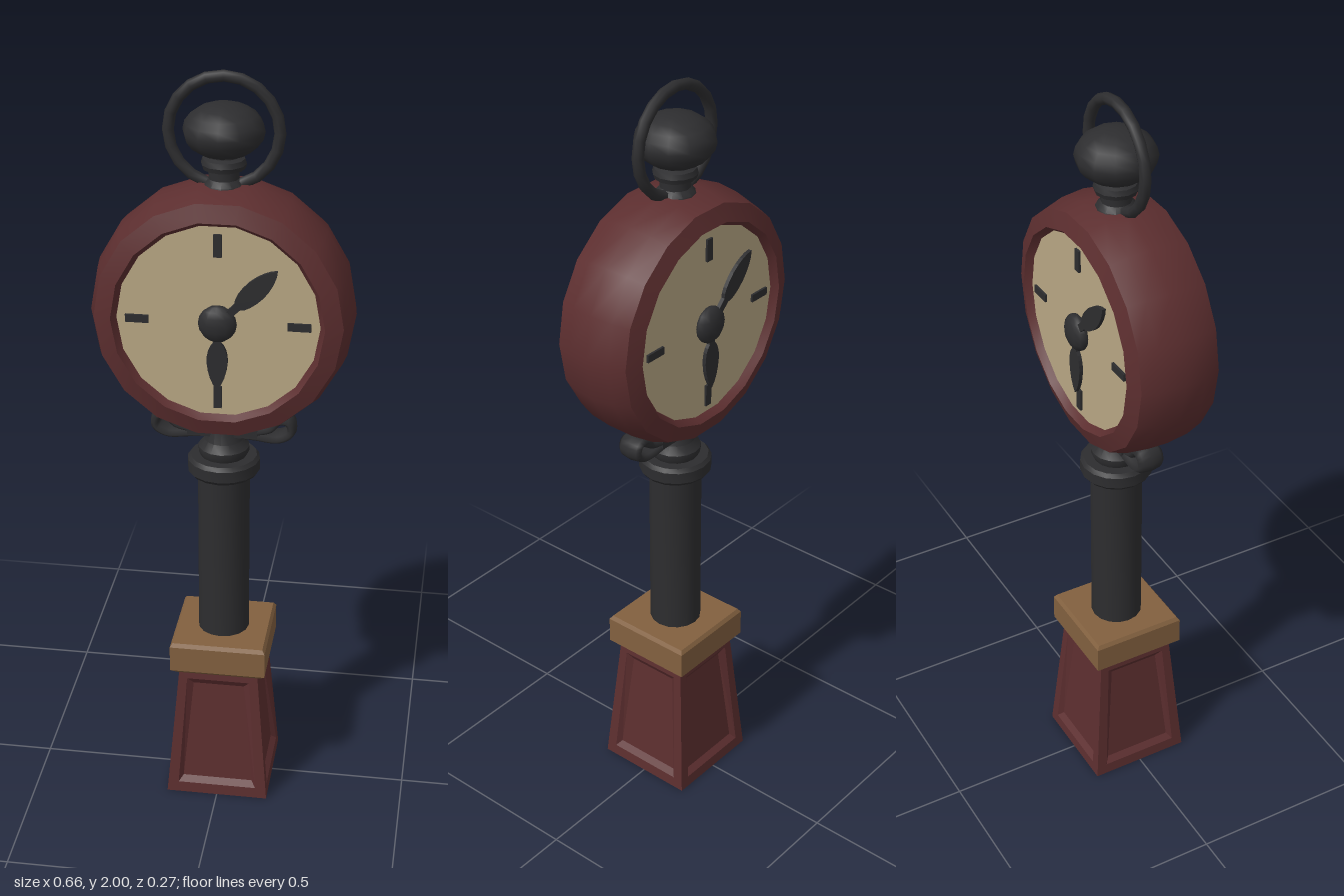
import * as THREE from 'three';
import { toCreasedNormals } from 'three/addons/utils/BufferGeometryUtils.js';

const material = (name, color, side = THREE.FrontSide) => {
  const m = new THREE.MeshStandardMaterial({ color, side });
  m.name = name;
  return m;
};

export function createModel() {
  const red = material('dark red paint', 0x5c2e2f, THREE.DoubleSide);
  const black = material('black iron', 0x2d2d2f);
  const wood = material('tan wood', 0x82603f);
  const cream = material('cream dial', 0xb8a784);

  const model = new THREE.Group();
  model.name = 'streetClock';
  const add = (name, geometry, mat, parent = model) => {
    const mesh = new THREE.Mesh(geometry, mat);
    mesh.name = name;
    parent.add(mesh);
    return mesh;
  };
  // Turned part from [radius, height] pairs, with sharp edges kept
  const turned = (profile, sides, start = 0, crease = 0.6) =>
    toCreasedNormals(new THREE.LatheGeometry(
      profile.map(([r, y]) => new THREE.Vector2(r, y)), sides, start), crease);

  // Tapered pedestal: each side is a frame, a bevel and a sunken panel
  const rings = [ // bottom half width, bottom y, top half width, top y, depth
    [0.137, 0, 0.105, 0.385, 0],
    [0.106, 0.03, 0.084, 0.355, 0],
    [0.094, 0.045, 0.068, 0.336, 0.013],
  ].map(([bw, by, tw, ty, d]) => [[-bw, by], [bw, by], [tw, ty], [-tw, ty]].map(
    ([x, y]) => [x, y, 0.137 - 0.032 * y / 0.385 - d]));
  const corners = [];
  const quad = (a, b, c, d) => corners.push(...a, ...b, ...c, ...a, ...c, ...d);
  for (let r = 0; r < 2; r++) {
    for (let i = 0; i < 4; i++) {
      const j = (i + 1) % 4;
      quad(rings[r][i], rings[r][j], rings[r + 1][j], rings[r + 1][i]);
    }
  }
  quad(...rings[2]);
  const sideGeometry = new THREE.BufferGeometry();
  sideGeometry.setAttribute('position', new THREE.Float32BufferAttribute(corners, 3));
  sideGeometry.computeVertexNormals();
  for (let i = 0; i < 4; i++) {
    add('pedestalSide', sideGeometry, red).rotation.y = i * Math.PI / 2;
  }

  // Square wooden cap with chamfered edges
  const cap = [[0, 0.375], [0.11, 0.375], [0.127, 0.39], [0.127, 0.462], [0.12, 0.472], [0, 0.472]];
  add('pedestalCap', turned(cap.map(([r, y]) => [r * Math.SQRT2, y]), 4, Math.PI / 4, 0.1), wood);

  // Column with its collars
  add('column', turned([
    [0.068, 0.46], [0.068, 0.94], [0.086, 0.94], [0.094, 0.95], [0.094, 0.98], [0.086, 0.99],
    [0.06, 0.99], [0.066, 1.003], [0.066, 1.015], [0.05, 1.035], [0.042, 1.09], [0, 1.09],
  ], 16), black);

  // Scrolled bracket under the clock
  const bracket = new THREE.Group();
  bracket.name = 'scrollBracket';
  model.add(bracket);
  for (const s of [-1, 1]) {
    const path = new THREE.CatmullRomCurve3([
      [0, 1.06], [0.08, 1.054], [0.145, 1.05], [0.175, 1.07], [0.168, 1.098],
      [0.143, 1.1], [0.122, 1.078], [0.08, 1.066],
    ].map(([x, y]) => new THREE.Vector3(s * x, y, 0)));
    add('scroll', new THREE.TubeGeometry(path, 36, 0.013, 8), black, bracket).scale.z = 2.8;
  }
  add('saddle', new THREE.BoxGeometry(0.18, 0.035, 0.07), black, bracket).position.y = 1.07;

  // Round clock case, open at both ends for the dials
  const half = [[0.25, 0.1], [0.264, 0.12], [0.308, 0.105], [0.323, 0.06]];
  const caseProfile = [...half.map(([r, z]) => [r, -z]), [0.33, 0], ...half.slice().reverse()];
  const caseGeometry = turned(caseProfile, 18, Math.PI / 2);
  caseGeometry.rotateX(Math.PI / 2);
  add('clockCase', caseGeometry, red).position.y = 1.4;

  // Leaf-shaped hand pointing up, wide at 'belly'
  const hand = (stem, belly, tip) => {
    const shape = new THREE.Shape();
    shape.moveTo(-0.009, 0);
    shape.lineTo(0.009, 0);
    shape.lineTo(0.01, stem);
    shape.quadraticCurveTo(0.026, stem + 0.015, 0.026, belly);
    shape.quadraticCurveTo(0.022, tip - 0.025, 0, tip);
    shape.quadraticCurveTo(-0.022, tip - 0.025, -0.026, belly);
    shape.quadraticCurveTo(-0.026, stem + 0.015, -0.01, stem);
    return new THREE.ExtrudeGeometry(shape, { depth: 0.01, bevelEnabled: false, curveSegments: 4 });
  };

  // The same dial on the front and on the back
  for (const turn of [0, Math.PI]) {
    const dial = new THREE.Group();
    dial.name = turn ? 'backDial' : 'frontDial';
    dial.position.y = 1.4;
    dial.rotation.y = turn;
    model.add(dial);
    add('dialFace', new THREE.CircleGeometry(0.252, 36), cream, dial).position.z = 0.102;
    for (let i = 0; i < 4; i++) {
      const a = i * Math.PI / 2;
      const mark = add('hourMark', new THREE.BoxGeometry(0.02, 0.058, 0.008), black, dial);
      mark.position.set(0.2 * Math.sin(a), 0.2 * Math.cos(a), 0.104);
      mark.rotation.z = -a;
    }
    const hourHand = add('upperHand', hand(0.07, 0.135, 0.208), black, dial);
    hourHand.position.z = 0.11;
    hourHand.rotation.z = -Math.PI / 4;
    const lowerHand = add('lowerHand', hand(0.05, 0.1, 0.175), black, dial);
    lowerHand.position.z = 0.108;
    lowerHand.rotation.z = Math.PI;
    const hub = add('handHub', new THREE.SphereGeometry(0.048, 12, 8), black, dial);
    hub.position.z = 0.11;
    hub.scale.z = 0.52;
  }

  // Crown on top: neck, flattened ball and ring
  add('crownNeck', turned([
    [0.055, 1.7], [0.05, 1.722], [0.038, 1.735], [0.038, 1.757], [0.052, 1.76], [0.056, 1.772],
    [0.052, 1.785], [0.04, 1.79], [0.04, 1.82],
  ], 12), black);
  const ball = add('crownBall', new THREE.SphereGeometry(0.1, 12, 10), black);
  ball.position.y = 1.853;
  ball.scale.y = 0.67;
  add('crownRing', new THREE.TorusGeometry(0.135, 0.0145, 8, 20), black).position.y = 1.85;

  return model;
}
